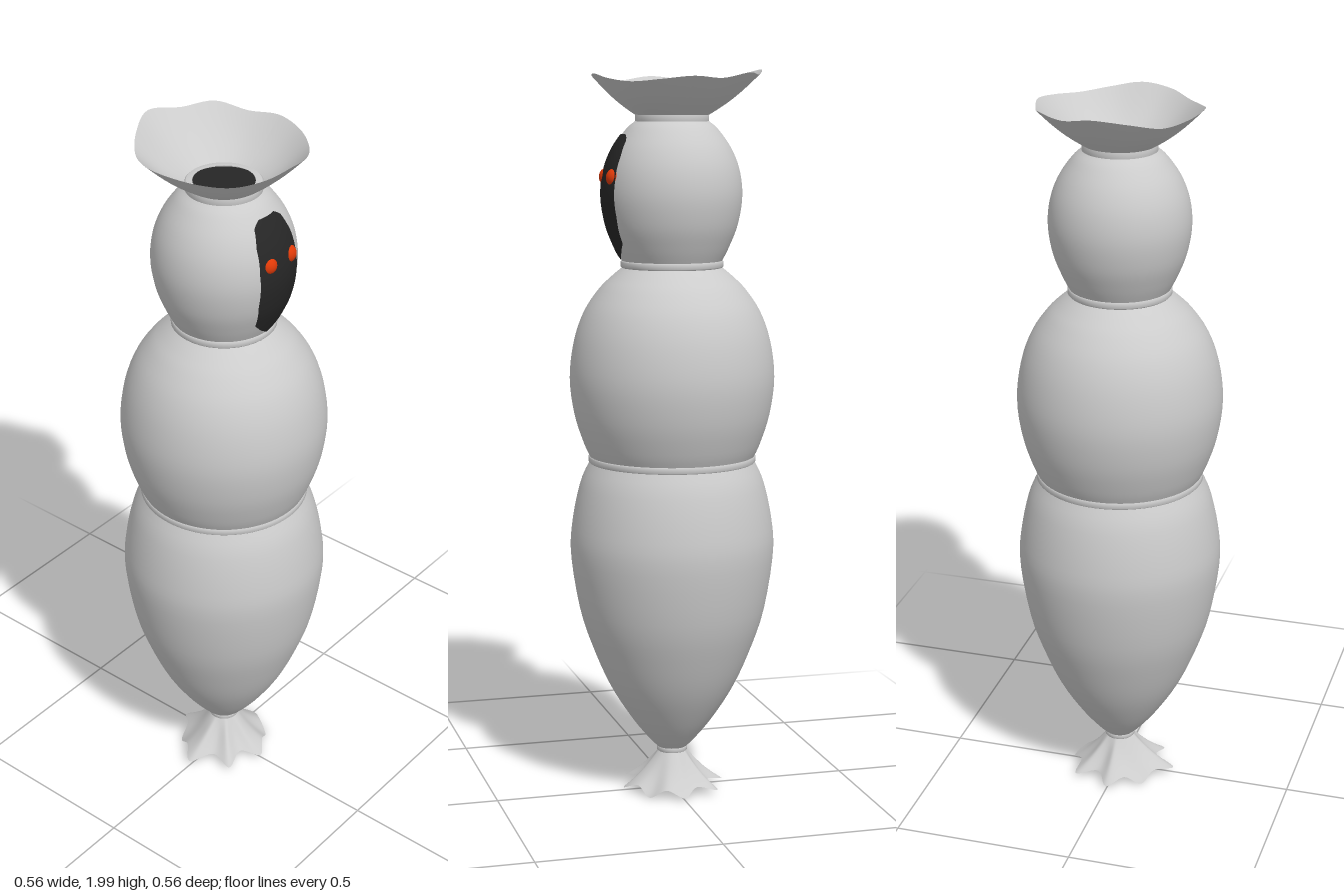
import * as THREE from 'three';

const V2 = (x, y) => new THREE.Vector2(x, y);
const grey = new THREE.MeshStandardMaterial({ color: 0xcccccc, side: THREE.DoubleSide });
const dark = new THREE.MeshStandardMaterial({ color: 0x262626, side: THREE.DoubleSide });
const red = new THREE.MeshStandardMaterial({ color: 0xe03a08 });

// Smooth profiles as [radius, height], bottom to top
const HEAD = [[0.135, 1.485], [0.155, 1.525], [0.178, 1.585], [0.19, 1.66], [0.183, 1.73], [0.16, 1.79], [0.125, 1.84], [0.1, 1.862]];
const CHEST = [[0.225, 0.95], [0.243, 0.99], [0.268, 1.07], [0.28, 1.17], [0.268, 1.27], [0.24, 1.35], [0.2, 1.41], [0.165, 1.445], [0.135, 1.47]];
const BELLY = [[0.04, 0.125], [0.065, 0.15], [0.113, 0.21], [0.17, 0.3], [0.215, 0.4], [0.255, 0.52], [0.28, 0.68], [0.274, 0.78], [0.252, 0.88], [0.225, 0.94]];

function curveOf(profile) {
  return new THREE.SplineCurve(profile.map(p => V2(...p)));
}

function add(group, name, geometry, material) {
  const mesh = new THREE.Mesh(geometry, material);
  mesh.name = name;
  group.add(mesh);
  return mesh;
}

// Surface from a function of two indices; columns follow i, rows follow j
function gridSurface(cols, rows, pointAt) {
  const geo = new THREE.PlaneGeometry(1, 1, cols, rows);
  const pos = geo.attributes.position;
  for (let j = 0; j <= rows; j++) {
    for (let i = 0; i <= cols; i++) {
      const p = pointAt(i / cols, j / rows);
      pos.setXYZ(j * (cols + 1) + i, p.x, p.y, p.z);
    }
  }
  geo.computeVertexNormals();
  return geo;
}

// Loft from a wavy rim to a round neck; rim is a list of [radius, height] by angle
function ruffle(rim, neckRadius, neckY, bow) {
  const curve = new THREE.CatmullRomCurve3(rim.map(([r, y], k) => {
    const a = k / rim.length * Math.PI * 2;
    return new THREE.Vector3(Math.cos(a) * r, y, Math.sin(a) * r);
  }), true);
  return gridSurface(96, 8, (u, v) => {
    const outer = curve.getPoint(u);
    const a = Math.atan2(outer.z, outer.x);
    const neck = new THREE.Vector3(Math.cos(a) * neckRadius, neckY, Math.sin(a) * neckRadius);
    const p = outer.lerp(neck, v);
    p.y += bow * Math.sin(Math.PI * v);
    return p;
  });
}

// Head radius at a given height
function headRadius(y) {
  const pts = curveOf(HEAD).getPoints(80);
  const k = Math.max(1, pts.findIndex(p => p.y >= y));
  const a = pts[k - 1], b = pts[k];
  return THREE.MathUtils.lerp(a.x, b.x, THREE.MathUtils.clamp((y - a.y) / (b.y - a.y), 0, 1));
}

export function createModel() {
  const model = new THREE.Group();

  // Three stuffed sections
  for (const [name, profile] of [['head', HEAD], ['chest', CHEST], ['belly', BELLY]]) {
    add(model, name, new THREE.LatheGeometry(curveOf(profile).getPoints(32), 64), grey);
  }

  // Ties between the sections
  for (const [name, radius, y, height] of [['waistTie', 0.23, 0.945, 0.02], ['neckTie', 0.14, 1.479, 0.02],
    ['topTie', 0.1, 1.87, 0.026], ['bottomTie', 0.042, 0.12, 0.018]]) {
    const h = height / 2, bevel = 0.004;
    add(model, name, new THREE.LatheGeometry([
      V2(radius - 0.02, y - h), V2(radius - bevel, y - h), V2(radius, y - h + bevel),
      V2(radius, y + h - bevel), V2(radius - bevel, y + h), V2(radius - 0.02, y + h),
    ], 64), grey);
  }

  // Dark plug inside the top opening
  const plug = add(model, 'topPlug', new THREE.CircleGeometry(0.096, 48), dark);
  plug.rotation.x = -Math.PI / 2;
  plug.position.y = 1.872;

  // Gathered cloth above the head, rim starting at +x and turning towards +z
  add(model, 'topRuffle', ruffle([
    [0.222, 1.98], [0.219, 1.972], [0.214, 1.966], [0.213, 1.975], [0.215, 1.988], [0.216, 1.98],
    [0.208, 1.968], [0.211, 1.973], [0.226, 1.984], [0.222, 1.975], [0.222, 1.968], [0.23, 1.985],
    [0.249, 2.0], [0.234, 1.985], [0.235, 1.99], [0.217, 1.975],
  ], 0.098, 1.878, -0.008), grey);

  // Gathered cloth at the foot with alternating folds
  const folds = Array.from({ length: 16 }, (_, k) => {
    const sway = 0.012 * Math.sin(k * 2.3);
    return k % 2 ? [0.112 + sway, 0.03] : [0.138 + sway, 0.012 + sway * 0.5];
  });
  folds[8] = [0.162, 0.022];
  add(model, 'bottomRuffle', ruffle(folds, 0.038, 0.115, -0.008), grey);

  // Dark face patch wrapped over the head
  const outline = [[0, 1.492], [0.032, 1.512], [0.062, 1.54], [0.073, 1.61], [0.074, 1.7], [0.068, 1.77], [0.052, 1.815], [0.03, 1.828]];
  add(model, 'face', gridSurface(12, 42, (u, v) => {
    const y = 1.828 - v * (1.828 - 1.492);
    const k = Math.max(1, outline.findIndex(p => p[1] >= y - 1e-6));
    const [w0, y0] = outline[k - 1], [w1, y1] = outline[k];
    const x = (u * 2 - 1) * THREE.MathUtils.lerp(w0, w1, (y - y0) / (y1 - y0));
    const r = headRadius(y) + 0.004;
    return new THREE.Vector3(x, y, Math.sqrt(r * r - x * x));
  }), dark);

  // Eyes
  for (const [name, x] of [['leftEye', 0.044], ['rightEye', -0.035]]) {
    add(model, name, new THREE.SphereGeometry(0.026, 24, 16), red).position.set(x, 1.714, 0.168);
  }

  return model;
}
